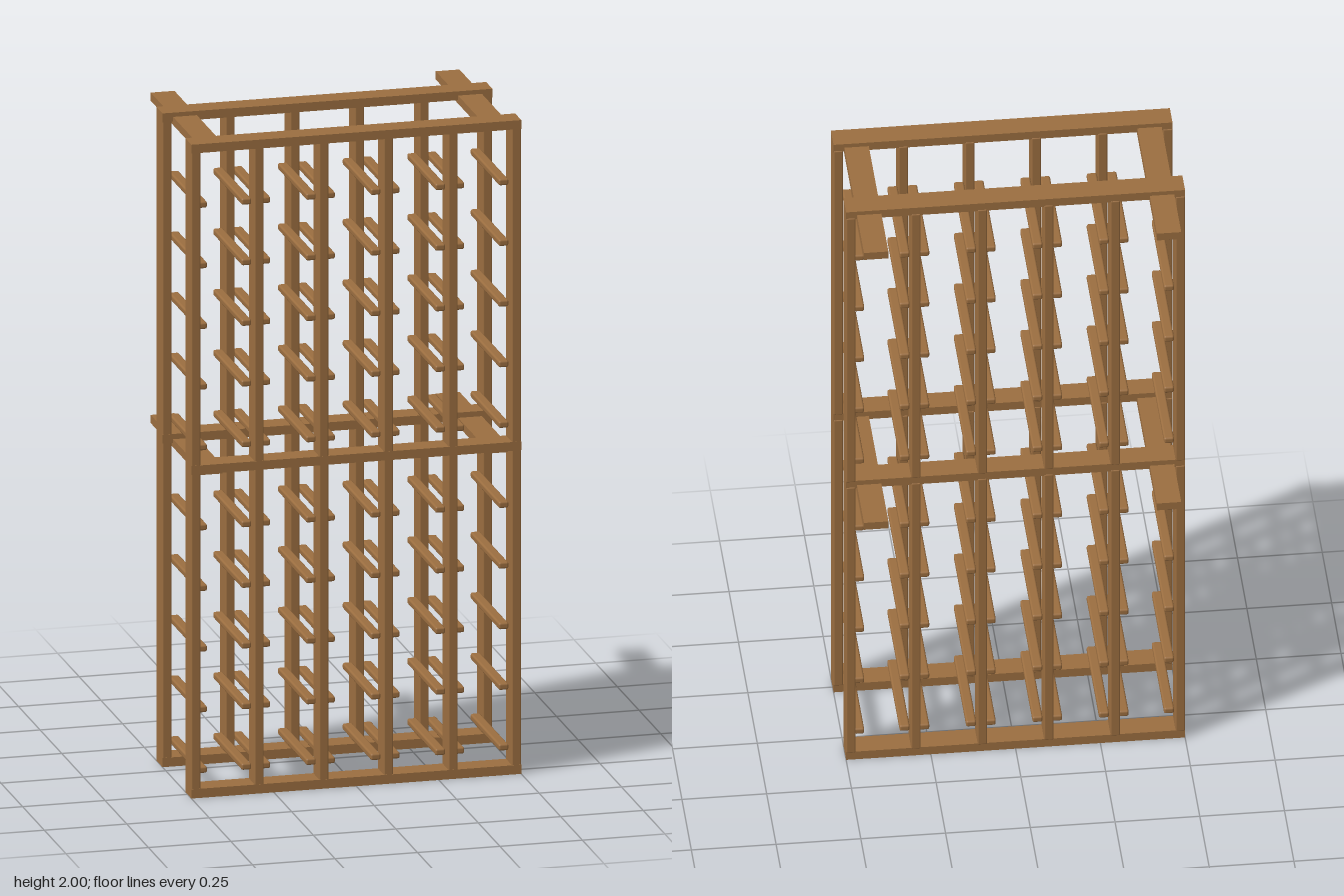
import * as THREE from 'three';
import { RoundedBoxGeometry } from 'three/addons/geometries/RoundedBoxGeometry.js';

export function createModel() {
  const rack = new THREE.Group();
  rack.name = 'slattedRack';
  const wood = new THREE.MeshStandardMaterial({ color: 0x9b6e40 });
  wood.name = 'warm wood';

  // Bar given by its min and max on each axis; radius softens the edges
  function bar(name, [x0, x1], [y0, y1], [z0, z1], radius = 0) {
    const size = [x1 - x0, y1 - y0, z1 - z0];
    const geometry = radius
      ? new RoundedBoxGeometry(...size, 2, radius)
      : new THREE.BoxGeometry(...size);
    const mesh = new THREE.Mesh(geometry, wood);
    mesh.name = name;
    mesh.position.set((x0 + x1) / 2, (y0 + y1) / 2, (z0 + z1) / 2);
    rack.add(mesh);
  }

  const railHeights = [[0, 0.028], [0.99, 1.017], [1.973, 2]];
  const frames = [['front', 0.224, 0.295], ['back', -0.11, -0.038]];
  const postXs = [-0.486, -0.294, -0.098, 0.098, 0.294, 0.486];
  const halfPost = 0.014;

  // Front and back ladders: three rails with posts between them
  for (const [side, z0, z1] of frames) {
    railHeights.forEach((y) => bar(side + 'Rail', [-0.5, 0.5], y, [z0, z1]));
    for (const x of postXs) {
      for (let i = 0; i < 2; i++) {
        bar(side + 'Post', [x - halfPost, x + halfPost],
          [railHeights[i][1] - 0.004, railHeights[i + 1][0] + 0.004],
          [z0 - 0.002, z1 - 0.001], 0.004);
      }
    }
  }

  // Shelf runners fixed to the faces of every post
  for (const base of [0.073, 1.06]) {
    for (let row = 0; row < 5; row++) {
      const y = base + row * 0.1855;
      for (const x of postXs) {
        for (const s of [-1, 1]) {
          if (Math.abs(x + s * 0.03) > 0.5) continue;
          const a = x + s * halfPost, b = x + s * 0.044;
          bar('runner', [Math.min(a, b), Math.max(a, b)],
            [y - 0.01, y + 0.01], [-0.074, 0.258], 0.006);
        }
      }
    }
  }

  // Wall braces tying both ladders together and reaching out behind
  for (const y of [[0.976, 1.001], [1.962, 1.987]]) {
    bar('rightWallBrace', [-0.468, -0.396], y, [-0.297, 0.258]);
    bar('leftWallBrace', [0.396, 0.468], y, [-0.297, 0.258]);
  }
  return rack;
}
